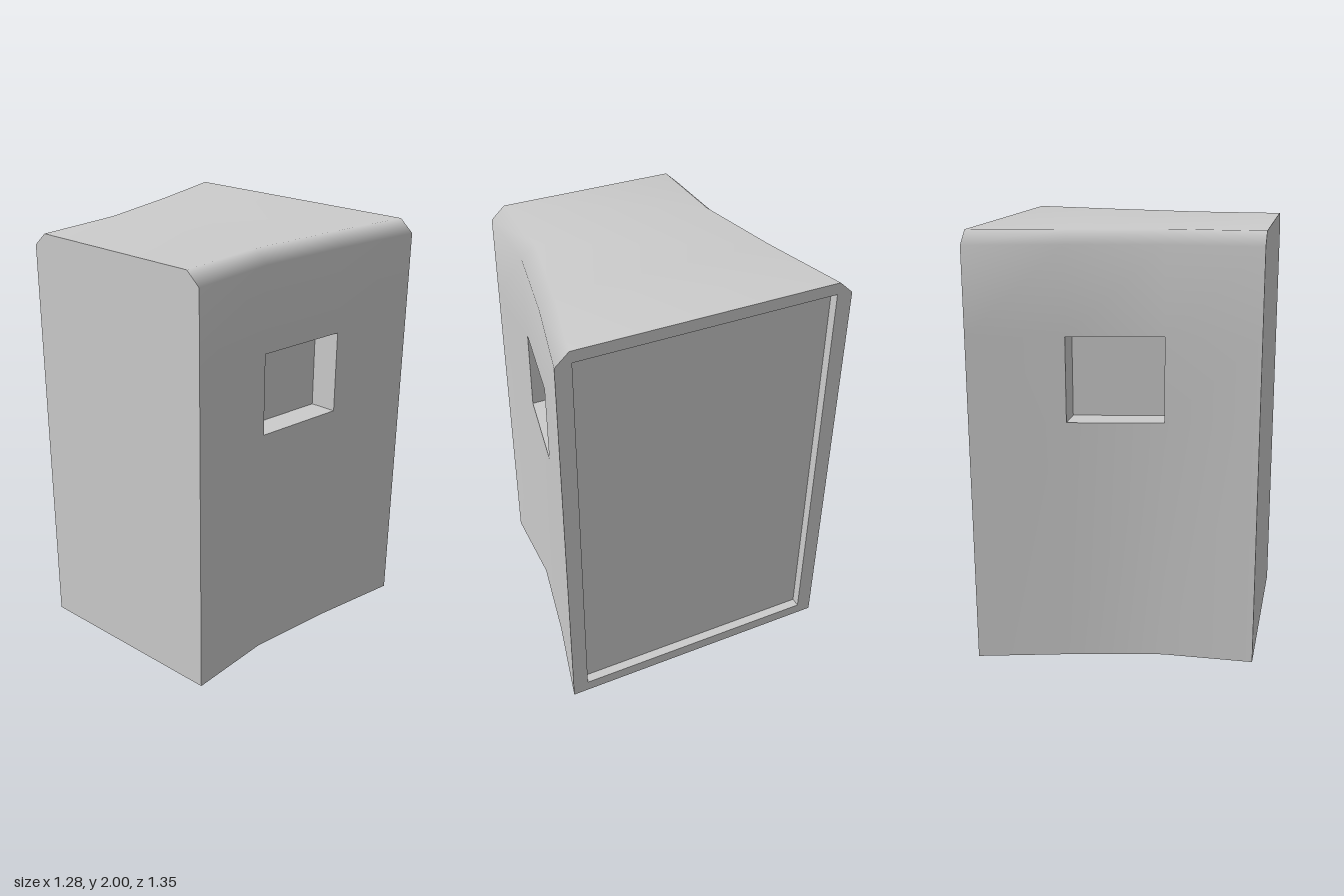
import * as THREE from 'three';

// Plan outline: [x, half depth], narrow at one end and flaring to the other
const PLAN = [[-0.64, 0.49], [-0.215, 0.495], [0.215, 0.575], [0.64, 0.674]];
const CHAMFER_Y = 1.94, CHAMFER_Z = 0.065, TOP = 2;
const WINDOW_BOTTOM = 1.15, WINDOW_TOP = 1.54, WINDOW_DEPTH = 0.125;
const PANEL_DEPTH = 0.045;

// Half section from the floor to the top edge, as [z, y]
const halfSection = (d) => [
  [d, 0], [d, WINDOW_BOTTOM], [d, WINDOW_TOP], [d, CHAMFER_Y], [d - CHAMFER_Z, TOP],
];
// Full section, front floor over the top to the back floor
const section = (d) => {
  const half = halfSection(d);
  return [...half, ...half.map(([z, y]) => [-z, y]).reverse()];
};

export function createModel() {
  const group = new THREE.Group();
  const material = new THREE.MeshStandardMaterial({ color: 0xcccccc });
  const add = (name, geometry) => {
    const mesh = new THREE.Mesh(geometry, material);
    mesh.name = name;
    group.add(mesh);
    return mesh;
  };

  // Sunken pocket: corners run counter-clockwise seen from outside
  const addPocket = (name, corners, offset) => {
    const inner = corners.map((c) => c.clone().add(offset));
    const quads = [inner];
    for (let i = 0; i < 4; i++) {
      const n = (i + 1) % 4;
      quads.push([corners[i], corners[n], inner[n], inner[i]]);
    }
    const points = quads.flatMap(([a, b, c, d]) => [a, b, c, a, c, d]);
    const geometry = new THREE.BufferGeometry().setFromPoints(points);
    geometry.computeVertexNormals();
    add(name, geometry);
  };

  // Smooth skin: front wall, chamfers, top and back wall, with window openings
  const grid = PLAN.map(([x, d]) => section(d).map(([z, y]) => new THREE.Vector3(x, y, z)));
  const rows = grid[0].length;
  const index = [];
  for (let i = 0; i < PLAN.length - 1; i++) {
    for (let j = 0; j < rows - 1; j++) {
      if (i === 1 && (j === 1 || j === 7)) {
        const corners = [grid[i][j], grid[i + 1][j], grid[i + 1][j + 1], grid[i][j + 1]];
        const inward = new THREE.Vector3(0, 0, j === 1 ? -WINDOW_DEPTH : WINDOW_DEPTH);
        addPocket(j === 1 ? 'frontWindow' : 'backWindow', corners, inward);
        continue;
      }
      const a = i * rows + j, b = a + rows;
      index.push(a, b, b + 1, a, b + 1, a + 1);
    }
  }
  const skin = new THREE.BufferGeometry().setFromPoints(grid.flat());
  skin.setIndex(index);
  skin.computeVertexNormals();
  add('shell', skin);

  // Flat narrow end
  const endShape = (d) => new THREE.Shape(section(d).map(([z, y]) => new THREE.Vector2(z, y)));
  const [xMin, dMin] = PLAN[0];
  const [xMax, dMax] = PLAN[PLAN.length - 1];
  add('narrowEnd', new THREE.ShapeGeometry(endShape(dMin)).rotateY(-Math.PI / 2).translate(xMin, 0, 0));

  // Wide end: a thin rim around a sunken panel
  const rim = endShape(dMax);
  const opening = [[0.6, 0.055], [-0.6, 0.055], [-0.6, 1.945], [0.6, 1.945]];
  rim.holes.push(new THREE.Path(opening.map(([z, y]) => new THREE.Vector2(z, y))));
  add('wideEndRim', new THREE.ShapeGeometry(rim).rotateY(Math.PI / 2).translate(xMax, 0, 0));
  addPocket('wideEndPanel', opening.map(([z, y]) => new THREE.Vector3(xMax, y, z)),
    new THREE.Vector3(-PANEL_DEPTH, 0, 0));

  // Underside
  const outline = [...PLAN, ...PLAN.map(([x, d]) => [x, -d]).reverse()];
  const base = new THREE.Shape(outline.map(([x, z]) => new THREE.Vector2(x, z)));
  add('underside', new THREE.ShapeGeometry(base).rotateX(Math.PI / 2));

  return group;
}
